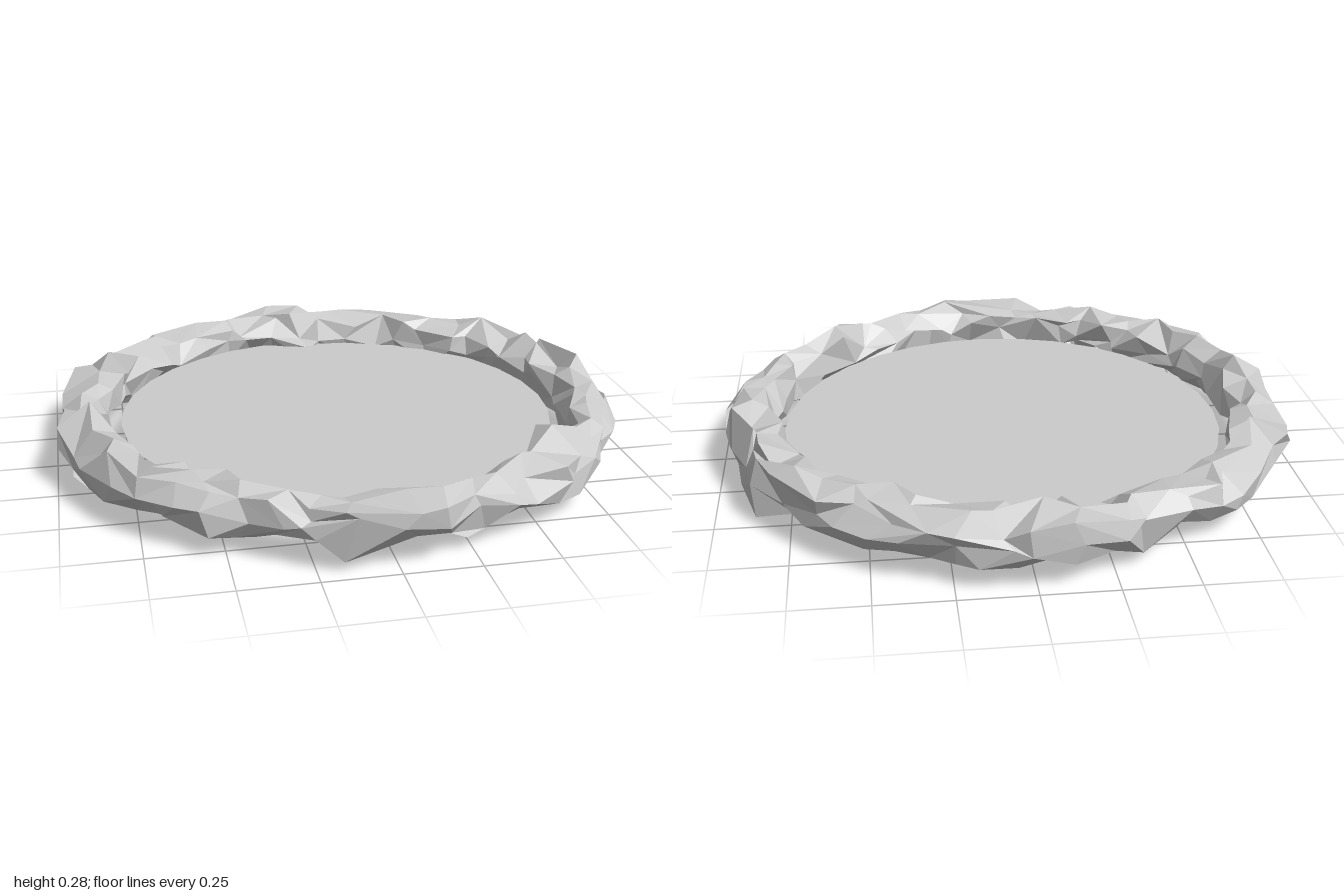
import * as THREE from 'three';

// Seeded jitter in -1..1
function makeJitter(seed) {
  return () => {
    seed = (seed * 16807) % 2147483647;
    return (seed / 2147483647) * 2 - 1;
  };
}

// Rim outlines as x, z pairs running around the ring
const OUTER = [0.99, 0, 0.99, 0.15, 0.95, 0.3, 0.9, 0.4, 0.8, 0.5, 0.79, 0.6, 0.62, 0.76, 0.5, 0.81,
  0.43, 0.89, 0.28, 0.93, 0.12, 1, -0.16, 0.98, -0.35, 0.89, -0.47, 0.83, -0.7, 0.7, -0.81, 0.6,
  -0.9, 0.4, -0.99, 0.18, -0.97, -0.1, -0.96, -0.38, -0.86, -0.5, -0.79, -0.6, -0.7, -0.72,
  -0.56, -0.8, -0.38, -0.91, -0.22, -0.96, -0.02, -1, 0.14, -1, 0.3, -0.96, 0.4, -0.91,
  0.58, -0.78, 0.68, -0.73, 0.79, -0.6, 0.88, -0.53, 0.92, -0.3];
const INNER = [0.79, 0, 0.78, 0.2, 0.72, 0.42, 0.6, 0.5, 0.44, 0.6, 0.25, 0.76, 0, 0.8, -0.25, 0.77,
  -0.42, 0.66, -0.54, 0.53, -0.7, 0.42, -0.72, 0.28, -0.78, 0.2, -0.78, 0, -0.76, -0.25, -0.71, -0.44,
  -0.55, -0.57, -0.35, -0.71, -0.12, -0.77, 0.02, -0.73, 0.13, -0.77, 0.3, -0.72, 0.52, -0.58,
  0.65, -0.44, 0.75, -0.25];

// Radius of an outline at an angle, interpolated around the full turn
function radiusAt(outline) {
  const turn = Math.PI * 2;
  const pts = [];
  for (let i = 0; i < outline.length; i += 2) {
    const a = (Math.atan2(outline[i + 1], outline[i]) + turn) % turn;
    pts.push([a, Math.hypot(outline[i], outline[i + 1])]);
  }
  pts.push([turn, pts[0][1]]);
  return (angle) => {
    const a = ((angle % turn) + turn) % turn;
    const k = Math.max(1, pts.findIndex((p) => p[0] >= a));
    const [p, q] = [pts[k - 1], pts[k]];
    return THREE.MathUtils.lerp(p[1], q[1], (a - p[0]) / (q[0] - p[0]));
  };
}

// Closed rocky ring: jagged cross-sections joined in a loop
function rockRing(segments, sides) {
  const rand = makeJitter(4127);
  const outer = radiusAt(OUTER);
  const inner = radiusAt(INNER);
  const step = (Math.PI * 2) / segments;
  const positions = [];
  const index = [];
  for (let i = 0; i < segments; i++) {
    for (let j = 0; j < sides; j++) {
      const t = (j / sides) * Math.PI * 2;
      const angle = (i + rand() * 0.45) * step;
      const across = 0.5 + 0.5 * Math.cos(t);
      const bulge = THREE.MathUtils.clamp(across + rand() * 0.18, 0, 1);
      const r = THREE.MathUtils.lerp(inner(angle), outer(angle), bulge);
      // Small roughness with an occasional taller spike
      const rough = rand();
      const y = 0.138 + 0.085 * Math.sin(t) + rough * 0.02 + Math.pow(rough, 5) * 0.04;
      positions.push(r * Math.cos(angle), THREE.MathUtils.clamp(y, 0, 0.275), r * Math.sin(angle));
      const i2 = (i + 1) % segments;
      const j2 = (j + 1) % sides;
      const a = i * sides + j, b = i2 * sides + j, c = i2 * sides + j2, d = i * sides + j2;
      if (rand() > 0) index.push(a, d, c, a, c, b);
      else index.push(a, d, b, d, c, b);
    }
  }
  const geometry = new THREE.BufferGeometry();
  geometry.setAttribute('position', new THREE.Float32BufferAttribute(positions, 3));
  geometry.setIndex(index);
  const flat = geometry.toNonIndexed();
  flat.computeVertexNormals();
  return flat;
}

export function createModel() {
  const group = new THREE.Group();

  // Rocky rim
  const rim = new THREE.Mesh(
    rockRing(48, 8),
    new THREE.MeshStandardMaterial({ color: 0xcccccc, flatShading: true })
  );
  rim.name = 'rockRim';
  group.add(rim);

  // Flat water surface, slightly off centre inside the rim
  const water = new THREE.Mesh(
    new THREE.CircleGeometry(0.775, 32).rotateX(-Math.PI / 2),
    new THREE.MeshStandardMaterial({ color: 0xcccccc, side: THREE.DoubleSide })
  );
  water.name = 'waterSurface';
  water.position.set(0.005, 0.121, -0.035);
  group.add(water);

  return group;
}
